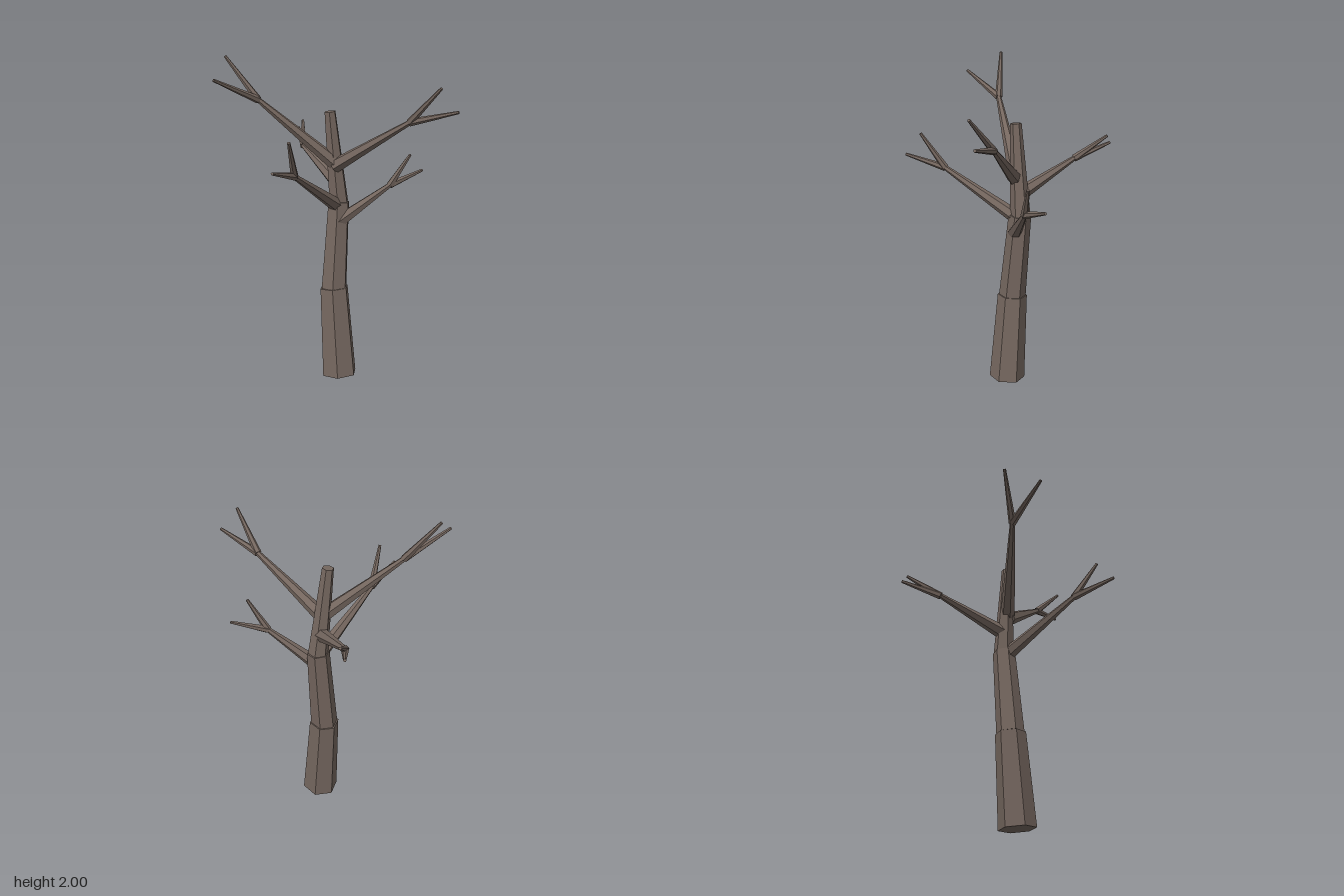
import * as THREE from 'three';

const bark = new THREE.MeshStandardMaterial({ color: 0x75675f, flatShading: true });
const UP = new THREE.Vector3(0, 1, 0);

// Tapered six-sided limb running from point a to point b
function limb(name, a, b, r0, r1) {
  const start = new THREE.Vector3(...a);
  const dir = new THREE.Vector3(...b).sub(start);
  const length = dir.length();
  const geometry = new THREE.CylinderGeometry(r1, r0, length, 6);
  geometry.translate(0, length / 2, 0);
  const mesh = new THREE.Mesh(geometry, bark);
  mesh.name = name;
  mesh.position.copy(start);
  mesh.quaternion.setFromUnitVectors(UP, dir.normalize());
  return mesh;
}

// Branch that splits into two twigs at its fork
function branch(name, start, fork, tips) {
  const group = new THREE.Group();
  group.name = name;
  group.add(limb('bough', start, fork, 0.045, 0.016));
  tips.forEach((tip) => group.add(limb('twig', fork, tip, 0.023, 0.009)));
  return group;
}

export function createModel() {
  const tree = new THREE.Group();
  tree.name = 'bareTree';

  // Trunk in three stacked, slightly bent sections
  tree.add(
    limb('lowerTrunk', [0, 0.012, 0.02], [-0.037, 0.575, -0.015], 0.112, 0.092),
    limb('middleTrunk', [-0.037, 0.57, -0.015], [-0.012, 1.115, -0.06], 0.084, 0.069),
    limb('upperTrunk', [-0.012, 1.11, -0.062], [-0.062, 1.67, -0.035], 0.062, 0.035),
  );

  // Five forked branches
  tree.add(
    branch('upperLeftBranch', [-0.035, 1.34, -0.03], [0.415, 1.63, 0.1],
      [[0.59, 1.84, 0.23], [0.69, 1.705, 0.2]]),
    branch('upperRightBranch', [-0.035, 1.36, -0.035], [-0.475, 1.745, 0.058],
      [[-0.67, 1.995, 0.038], [-0.69, 1.875, 0.255]]),
    branch('frontBranch', [-0.018, 1.09, -0.05], [-0.213, 1.36, 0.395],
      [[-0.22, 1.575, 0.54], [-0.295, 1.425, 0.64]]),
    branch('backBranch', [-0.025, 1.24, -0.055], [-0.278, 1.395, -0.41],
      [[-0.31, 1.53, -0.617], [-0.342, 1.478, -0.64]]),
    branch('lowerLeftBranch', [-0.025, 0.985, -0.025], [0.3, 1.222, -0.073],
      [[0.42, 1.41, -0.085], [0.493, 1.297, -0.178]]),
  );

  return tree;
}
